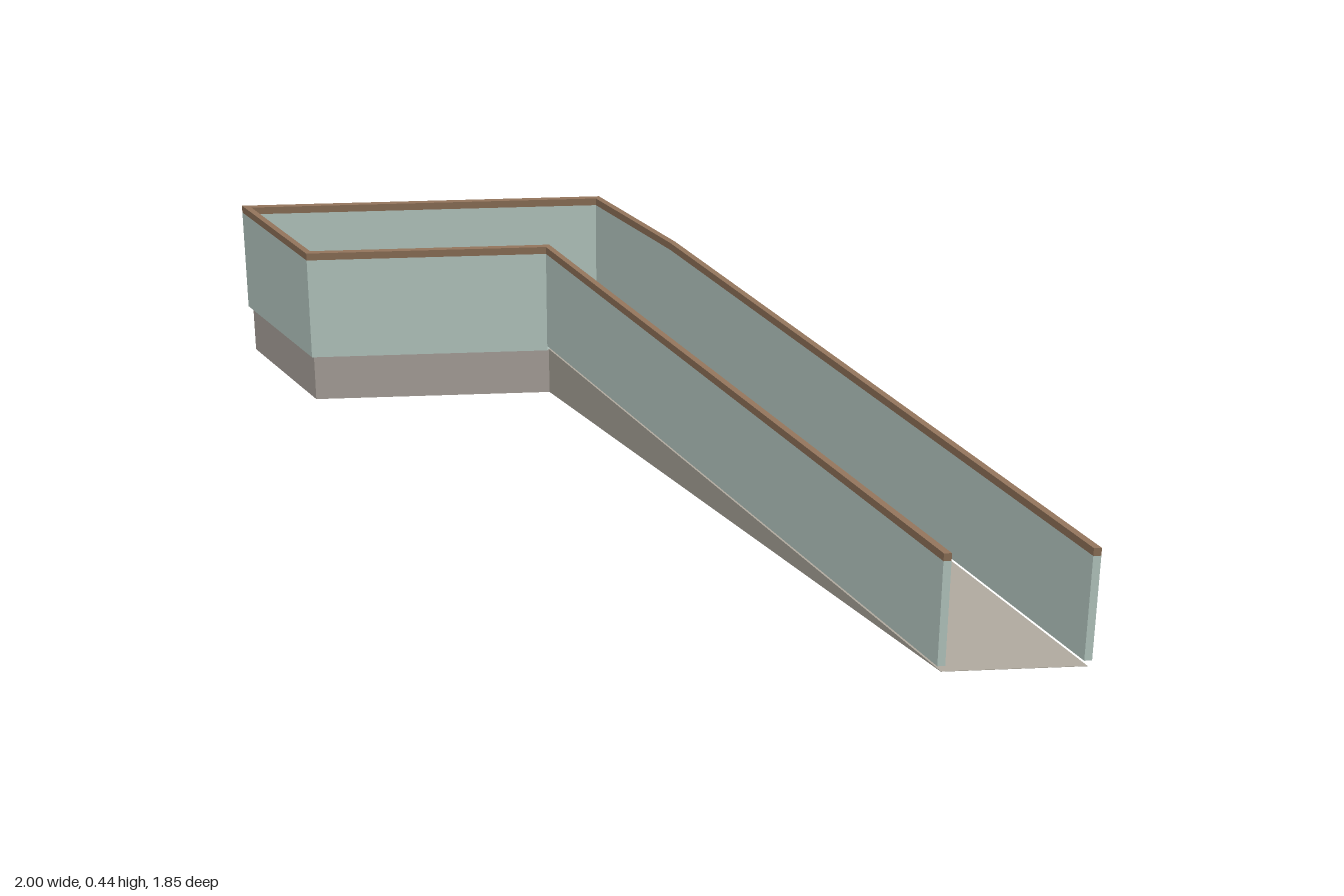
import * as THREE from 'three';

const mat = (name, color) => {
  const m = new THREE.MeshStandardMaterial({ color });
  m.name = name;
  return m;
};

// Solid over a convex plan [x, z] (clockwise from above), with a bottom and top height per corner
function prism(plan, bottom, top) {
  const pos = [];
  const n = plan.length;
  const lo = plan.map(([x, z], i) => [x, bottom[i], z]);
  const hi = plan.map(([x, z], i) => [x, top[i], z]);
  const tri = (...pts) => pts.forEach((p) => pos.push(...p));
  for (let i = 0; i < n; i++) {
    const j = (i + 1) % n;
    tri(lo[j], lo[i], hi[i]);
    tri(lo[j], hi[i], hi[j]);
  }
  for (let k = 1; k < n - 1; k++) {
    tri(hi[0], hi[k + 1], hi[k]);
    tri(lo[0], lo[k], lo[k + 1]);
  }
  const g = new THREE.BufferGeometry();
  g.setAttribute('position', new THREE.Float32BufferAttribute(pos, 3));
  g.computeVertexNormals();
  return g;
}

export function createModel() {
  const group = new THREE.Group();
  group.name = 'accessRamp';
  const deckMat = mat('deck grey', 0xb1a9a2);
  const rampMat = mat('ramp grey', 0xaea89d);
  const glassMat = mat('pale green glass', 0xbed1ca);
  const railMat = mat('brown handrail', 0x92745b);

  const add = (name, geometry, material) => {
    const mesh = new THREE.Mesh(geometry, material);
    mesh.name = name;
    group.add(mesh);
  };

  // Plan corners [x, z]
  const backLeft = [-0.987, -0.917];
  const backCorner = [-0.016, -0.917];
  const outerFold = [0.166, -0.583];
  const outerFoot = [0.99, 0.925];
  const innerFoot = [0.652, 0.925];
  const innerFold = [-0.17, -0.583];
  const frontLeft = [-0.807, -0.583];
  const H = 0.13;

  // Level landing and sloping ramp
  add('landing', prism([backLeft, backCorner, outerFold, frontLeft], [0, 0, 0, 0], [H, H, H, H]), deckMat);
  add('ramp', prism([innerFold, outerFold, outerFoot, innerFoot], [0, 0, 0, 0], [H, H, 0.001, 0.001]), rampMat);

  // Parapet line around the edge, open at the foot of the ramp
  const path = [outerFoot, outerFold, backCorner, backLeft, frontLeft, innerFold, innerFoot];
  const half = 0.008;
  const normals = path.slice(1).map(([x, z], i) => {
    const dx = x - path[i][0], dz = z - path[i][1], l = Math.hypot(dx, dz);
    return [-dz / l, dx / l];
  });
  // Mitred offsets; both free ends are cut square to z
  const miter = path.map((_, i) => {
    const a = normals[i - 1], b = normals[i];
    if (!a || !b) return [half / (a || b)[0], 0];
    const k = half / (1 + a[0] * b[0] + a[1] * b[1]);
    return [(a[0] + b[0]) * k, (a[1] + b[1]) * k];
  });
  const offset = (i, s) => [path[i][0] + s * miter[i][0], path[i][1] + s * miter[i][1]];

  const names = ['rampOuter', 'landingRight', 'landingBack', 'landingLeft', 'landingFront', 'rampInner'];
  const last = path.length - 1;
  names.forEach((name, i) => {
    const j = i + 1;
    const sloped = i === 0 || j === last;
    const plan = [offset(i, 1), offset(i, -1), offset(j, -1), offset(j, 1)];
    const heights = (foot, fold) => [i, i, j, j].map((k) => (k === 0 || k === last ? foot : fold));
    const base = heights(0.015, sloped ? 0.143 : H);
    const mid = heights(0.289, 0.415);
    const cap = heights(0.309, 0.435);
    add(name + 'Panel', prism(plan, base, mid), glassMat);
    add(name + 'Handrail', prism(plan, mid, cap), railMat);
  });

  return group;
}
